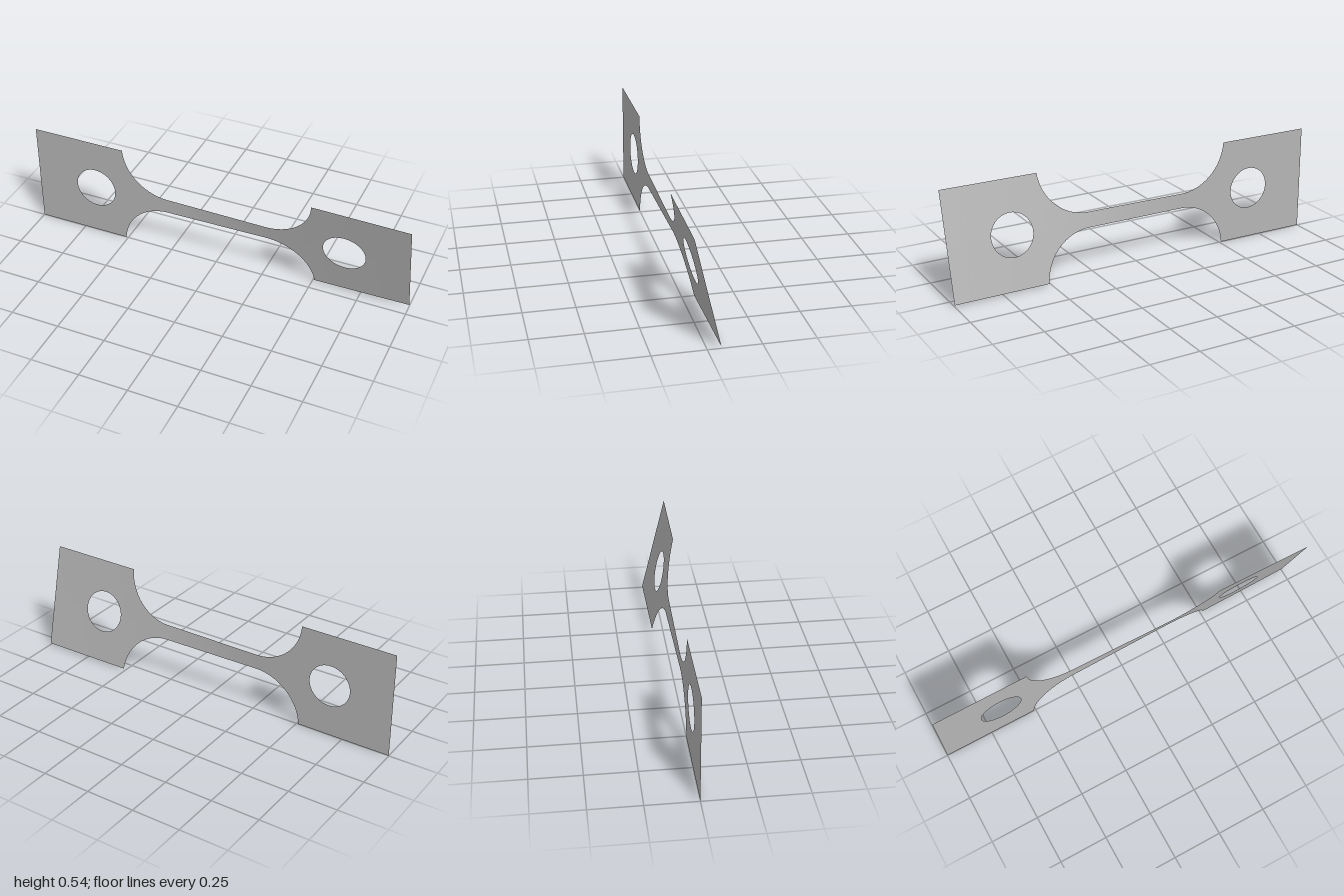
import * as THREE from 'three';

const MID = 0.2715, GRIP = 0.2715, NECK = 0.039;
const HOLE_X = 0.67, HOLE_R = 0.108;
const FILLET_X = 0.263, FILLET_R = 0.247, GRIP_X = 0.51;

// half height of the outline at a station along the bar
function outer(x) {
  const a = Math.abs(x);
  if (a >= GRIP_X - 1e-6) return GRIP;
  if (a <= FILLET_X) return NECK;
  return NECK + FILLET_R - Math.sqrt(FILLET_R ** 2 - (a - FILLET_X) ** 2);
}

// half height of the round hole
function inner(x) {
  const d = Math.abs(x) - HOLE_X;
  return Math.sqrt(Math.max(0, HOLE_R ** 2 - d * d));
}

// twist in degrees: most of it happens in the narrow neck
const TWIST = [[-1, 0], [-0.27, 0], [0.27, 11.2], [0.51, 12.2], [1, 13.5]];
function twist(x) {
  for (let i = 1; i < TWIST.length; i++) {
    const [x0, a0] = TWIST[i - 1], [x1, a1] = TWIST[i];
    if (x <= x1 + 1e-9) return THREE.MathUtils.degToRad(a0 + (a1 - a0) * (x - x0) / (x1 - x0));
  }
  return 0;
}

const span = (a, b, n) => Array.from({ length: n + 1 }, (_, i) => a + (b - a) * i / n);

// zero-thickness sheet made of columns, each split into an upper and a lower strip
function sheet(name, xs, material) {
  const pos = [], index = [];
  xs.forEach((x, i) => {
    const t = twist(x), o = outer(x), h = inner(x);
    for (const r of [-o, -h, h, o]) pos.push(x, MID + r * Math.cos(t), r * Math.sin(t));
    if (i === 0) return;
    for (const k of [0, 2]) {
      const a = (i - 1) * 4 + k, b = i * 4 + k;
      index.push(a, b, b + 1, a, b + 1, a + 1);
    }
  });
  const geo = new THREE.BufferGeometry();
  geo.setAttribute('position', new THREE.Float32BufferAttribute(pos, 3));
  geo.setIndex(index);
  geo.computeVertexNormals();
  const mesh = new THREE.Mesh(geo, material);
  mesh.name = name;
  return mesh;
}

export function createModel() {
  const group = new THREE.Group();
  group.name = 'twistedTestStrip';
  const steel = new THREE.MeshStandardMaterial({ color: 0xb4b4b4, side: THREE.DoubleSide });
  steel.name = 'grey steel';

  // grip stations, closely spaced towards the sides of the hole
  const hole = span(0, Math.PI, 48).map(t => HOLE_X - HOLE_R * Math.cos(t));
  const grip = [...span(GRIP_X, HOLE_X - HOLE_R, 4).slice(0, -1), ...hole, ...span(HOLE_X + HOLE_R, 1, 8).slice(1)];
  // fillet stations, closely spaced where the curve is steep
  const fillet = span(0, Math.asin((GRIP_X - FILLET_X) / FILLET_R), 28).map(t => FILLET_X + FILLET_R * Math.sin(t));
  const mirror = xs => xs.map(x => -x).reverse();

  group.add(
    sheet('rightGrip', mirror(grip), steel),
    sheet('neck', [...mirror(fillet), ...span(-FILLET_X, FILLET_X, 40).slice(1, -1), ...fillet], steel),
    sheet('leftGrip', grip, steel),
  );
  return group;
}
